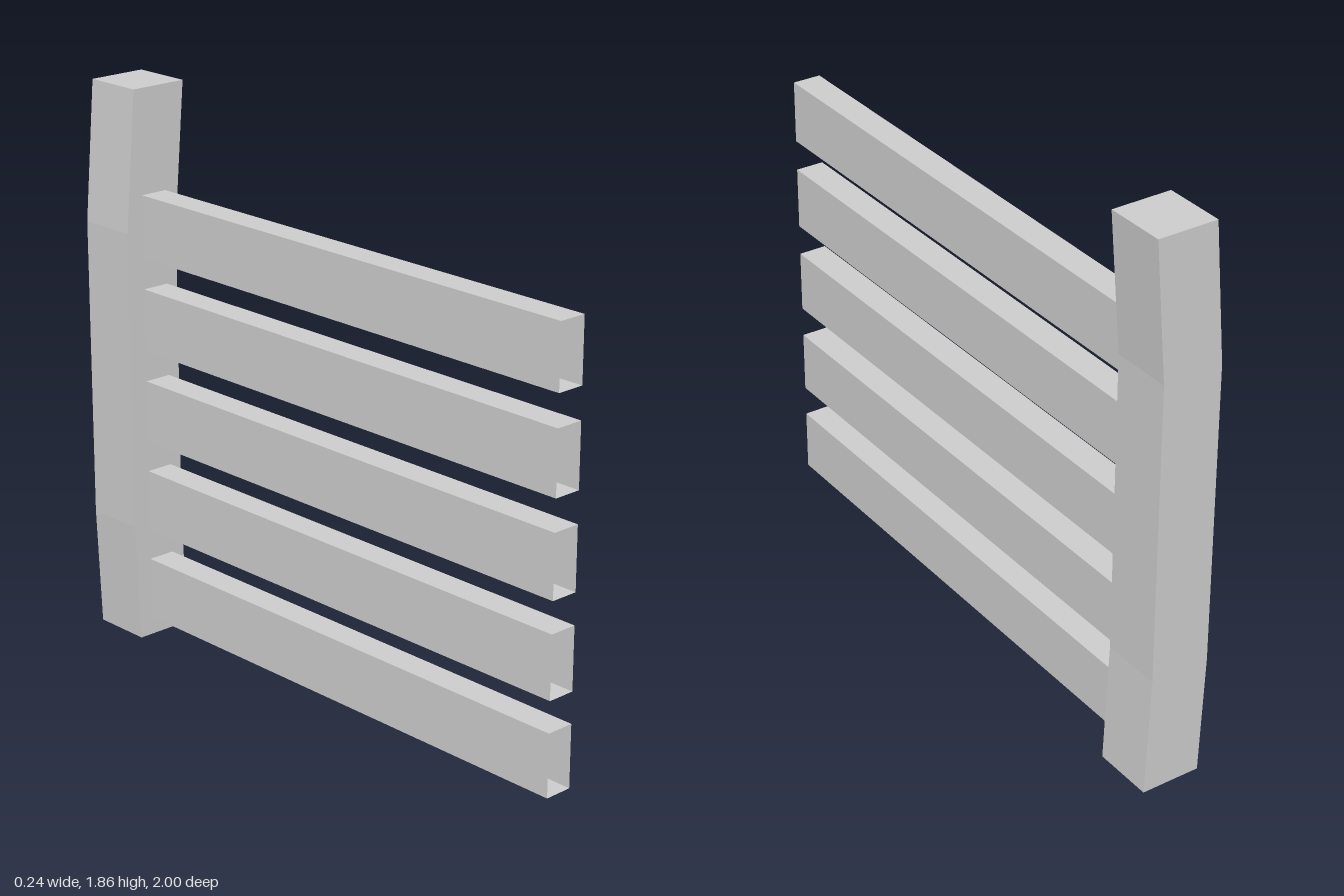
import * as THREE from 'three';

const material = new THREE.MeshStandardMaterial({ color: 0xcccccc, flatShading: true, side: THREE.DoubleSide });

// Hollow box without the listed sides (0 +x, 1 -x, 2 +y, 3 -y, 4 +z, 5 -z)
function openBox(w, h, d, rows, openSides) {
  const geometry = new THREE.BoxGeometry(w, h, d, 1, rows, 1);
  const all = Array.from(geometry.index.array);
  const kept = geometry.groups
    .filter((g) => !openSides.includes(g.materialIndex))
    .flatMap((g) => all.slice(g.start, g.start + g.count));
  geometry.setIndex(kept);
  geometry.clearGroups();
  return geometry;
}

function addMesh(parent, name, geometry) {
  const mesh = new THREE.Mesh(geometry, material);
  mesh.name = name;
  parent.add(mesh);
  return mesh;
}

export function createModel() {
  const model = new THREE.Group();
  model.name = 'fenceSection';

  // Bent post, open underneath: each ring is [height, sideways offset]
  const rings = [[0, -0.003], [0.4, -0.02], [1.4, -0.02], [1.86, 0.018]];
  const postGeometry = openBox(0.2, 3, 0.205, 3, [3]);
  const pos = postGeometry.attributes.position;
  for (let i = 0; i < pos.count; i++) {
    const [y, shift] = rings[Math.round(pos.getY(i) + 1.5)];
    pos.setXYZ(i, pos.getX(i) + shift, y, pos.getZ(i));
  }
  postGeometry.computeVertexNormals();
  addMesh(model, 'post', postGeometry).position.z = -0.8975;

  // Five hollow rails with open ends, set into the post
  const rails = new THREE.Group();
  rails.name = 'rails';
  model.add(rails);
  const railGeometry = openBox(0.095, 0.208, 1.9, 1, [4, 5]);
  for (let i = 0; i < 5; i++) {
    addMesh(rails, `rail${i + 1}`, railGeometry).position.set(-0.01, 0.167 + i * 0.311, 0.05);
  }

  return model;
}
